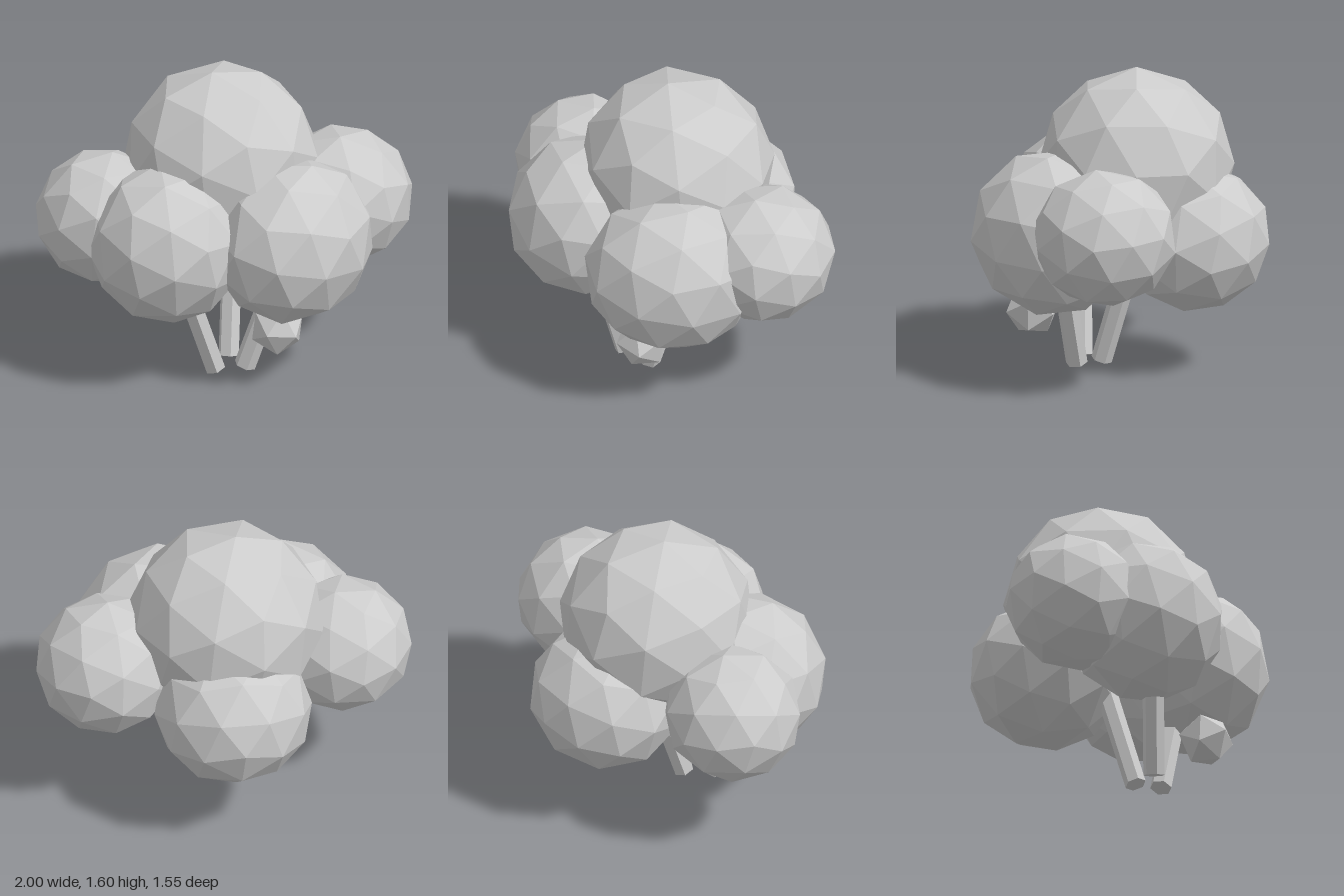
import * as THREE from 'three';

export function createModel() {
  const group = new THREE.Group();
  const grey = new THREE.MeshStandardMaterial({ color: 0xcccccc, flatShading: true });
  grey.name = 'light grey';

  // Faceted ball of leaves: facets are turned first, then the ball is stretched and yawed
  function foliage(name, radii, position, facetTurn, yaw = 0, detail = 1) {
    const geometry = new THREE.IcosahedronGeometry(1, detail);
    geometry.applyMatrix4(new THREE.Matrix4().makeRotationFromEuler(new THREE.Euler(...facetTurn)));
    const mesh = new THREE.Mesh(geometry, grey);
    mesh.name = name;
    mesh.scale.set(...radii);
    mesh.rotation.y = yaw;
    mesh.position.set(...position);
    group.add(mesh);
  }

  // Six-sided stem between two points
  function stem(name, from, to, radius) {
    const a = new THREE.Vector3(...from);
    const axis = new THREE.Vector3(...to).sub(a);
    const mesh = new THREE.Mesh(new THREE.CylinderGeometry(radius, radius, axis.length(), 6), grey);
    mesh.name = name;
    mesh.position.copy(a).addScaledVector(axis, 0.5);
    mesh.quaternion.setFromUnitVectors(new THREE.Vector3(0, 1, 0), axis.normalize());
    group.add(mesh);
  }

  // Crown
  foliage('topFoliage', [0.518, 0.51, 0.515], [-0.012, 1.095, -0.06], [0, 0.2, 0.1]);
  foliage('frontFoliageA', [0.42, 0.43, 0.42], [-0.36, 0.785, 0.27], [0.3, 0.5, 0.1]);
  foliage('frontFoliageB', [0.475, 0.44, 0.41], [0.3, 0.775, 0.335], [0.2, 0.15, 0.4], Math.PI / 4);
  foliage('sideFoliageA', [0.37, 0.36, 0.365], [-0.635, 0.815, -0.045], [0.5, 0.2, 0.1]);
  foliage('sideFoliageB', [0.38, 0.365, 0.385], [0.622, 0.845, -0.015], [0.1, 0.6, 0.05]);
  foliage('backFoliage', [0.42, 0.395, 0.41], [0.015, 0.72, -0.37], [0.4, 0.3, 0.6]);

  // Small low tuft
  foliage('smallTuft', [0.148, 0.148, 0.148], [0.195, 0.335, 0.455], [0.12, 0, 0], Math.PI / 2, 0);

  // Three splayed stems
  stem('stemA', [-0.1, 0.02, 0.25], [-0.295, 0.62, 0.295], 0.058);
  stem('stemB', [0.06, 0.02, 0.245], [0.25, 0.6, 0.29], 0.058);
  stem('backStem', [-0.005, 0.025, 0.125], [0.05, 0.66, -0.065], 0.056);

  return group;
}
